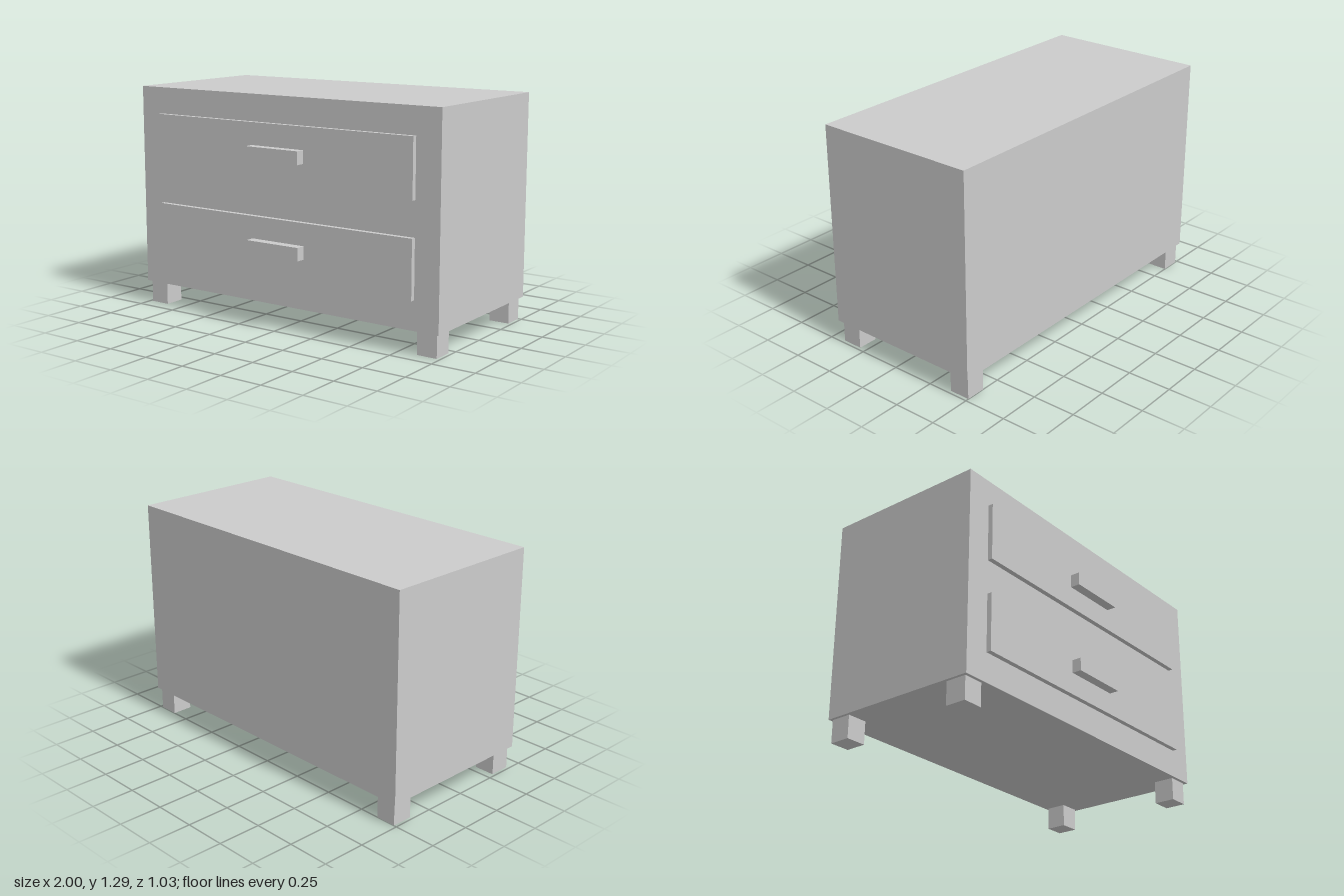
import * as THREE from 'three';

const material = new THREE.MeshStandardMaterial({ color: 0xcccccc, flatShading: true });

// Box given by its min and max extents on each axis
function box(name, [x0, x1], [y0, y1], [z0, z1]) {
  const mesh = new THREE.Mesh(new THREE.BoxGeometry(x1 - x0, y1 - y0, z1 - z0), material);
  mesh.name = name;
  mesh.position.set((x0 + x1) / 2, (y0 + y1) / 2, (z0 + z1) / 2);
  return mesh;
}

export function createModel() {
  const model = new THREE.Group();
  model.name = 'chestOfDrawers';

  const bottom = 0.13;
  const front = 0.433;
  const drawerFront = 0.461;

  // Cabinet body
  model.add(box('cabinet', [-1, 1], [bottom, 1.29], [-0.513, front]));

  // Two drawers, each a raised panel with a bar handle
  [['lower', 0.456], ['upper', 0.976]].forEach(([level, y]) => {
    const drawer = new THREE.Group();
    drawer.name = `${level}Drawer`;
    drawer.add(
      box('drawerPanel', [-0.853, 0.853], [y - 0.163, y + 0.163], [front, drawerFront]),
      box('drawerHandle', [-0.174, 0.174], [y - 0.037, y + 0.037], [drawerFront, 0.515])
    );
    model.add(drawer);
  });

  // Four short square legs
  for (const [side, x] of [['Left', 0.921], ['Right', -0.924]]) {
    for (const [end, z] of [['front', 0.353], ['back', -0.439]]) {
      model.add(box(`${end}${side}Leg`, [x - 0.059, x + 0.059], [0, bottom], [z - 0.06, z + 0.06]));
    }
  }

  return model;
}
